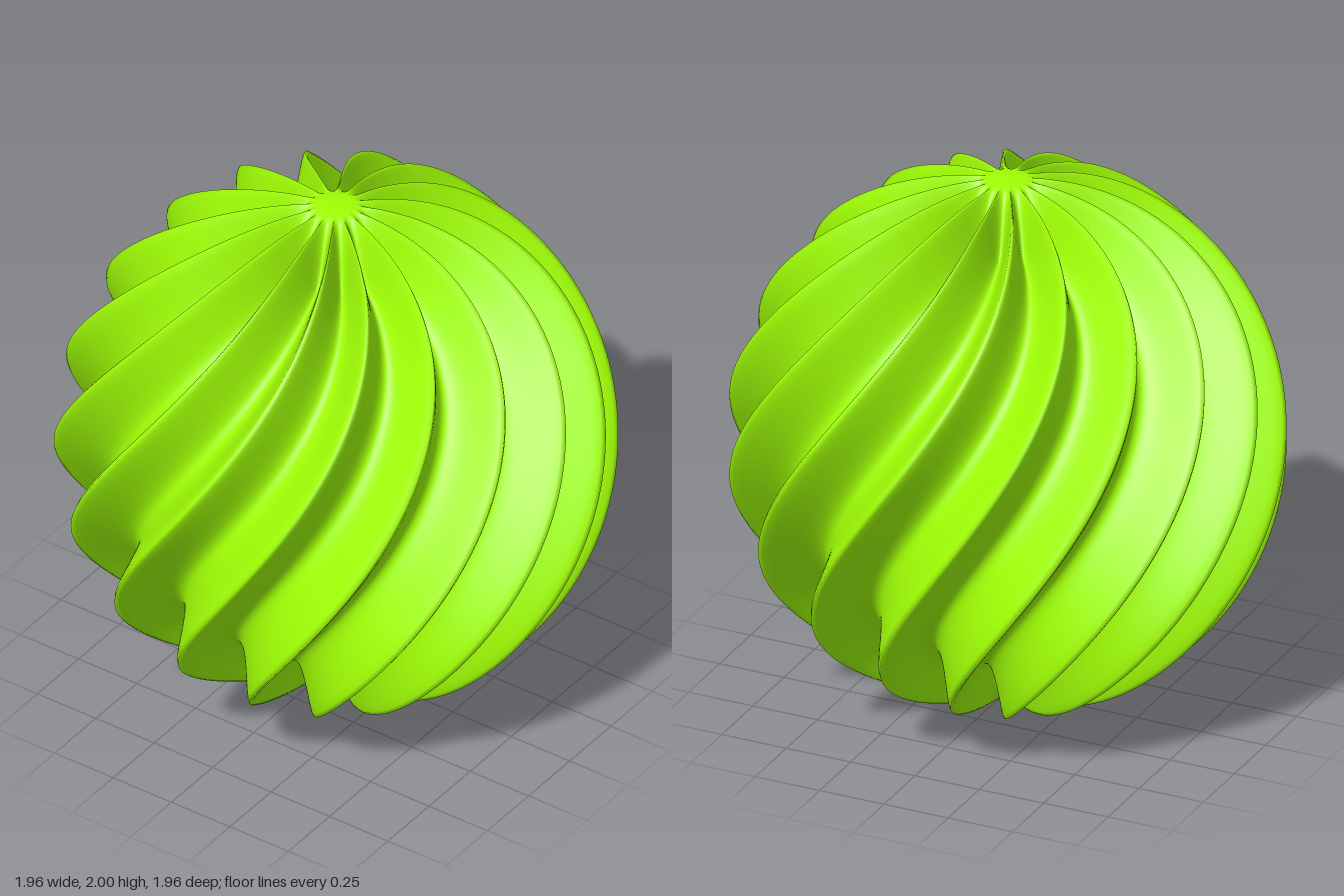
import * as THREE from 'three';
import { mergeVertices } from 'three/addons/utils/BufferGeometryUtils.js';

const LOBES = 16; // ridges around the ball
const TWIST = 0.672; // turn in radians per unit of height
const START = -0.141; // azimuth of a ridge at the equator
const DEPTH = 0.19; // ridge to groove
const SOFT = 0.12; // rounding of the crests

// Radius of the untwisted ball; ring is the cosine of the latitude
function radiusAt(azimuth, ring) {
  // Narrow crests with wide round grooves between them
  const s = Math.sin((LOBES / 2) * azimuth);
  const groove = (Math.hypot(s, SOFT) - SOFT) / (Math.hypot(1, SOFT) - SOFT);
  const fade = THREE.MathUtils.smoothstep(ring, 0.07, 0.28); // smooth caps at the poles
  return 1 - 0.012 * ring * ring - fade * DEPTH * groove;
}

export function createModel() {
  const group = new THREE.Group();
  group.name = 'twistedBall';

  // Sphere with its seam and poles welded, so the normals stay smooth
  let geometry = new THREE.SphereGeometry(1, 384, 180);
  geometry.deleteAttribute('uv');
  geometry.deleteAttribute('normal');
  geometry = mergeVertices(geometry, 1e-5);

  // Carve straight flutes, then turn each level so the mesh follows the spiral
  const position = geometry.attributes.position;
  const v = new THREE.Vector3();
  const up = new THREE.Vector3(0, 1, 0);
  for (let i = 0; i < position.count; i++) {
    v.fromBufferAttribute(position, i).normalize();
    const turn = START + TWIST * v.y;
    const radius = radiusAt(Math.atan2(v.x, v.z), Math.hypot(v.x, v.z));
    v.applyAxisAngle(up, turn).multiplyScalar(radius);
    position.setXYZ(i, v.x, v.y + 1, v.z);
  }
  geometry.computeVertexNormals();

  const ball = new THREE.Mesh(geometry, new THREE.MeshStandardMaterial({ color: 0xa0ff05 }));
  ball.name = 'flutedBall';
  group.add(ball);
  return group;
}
